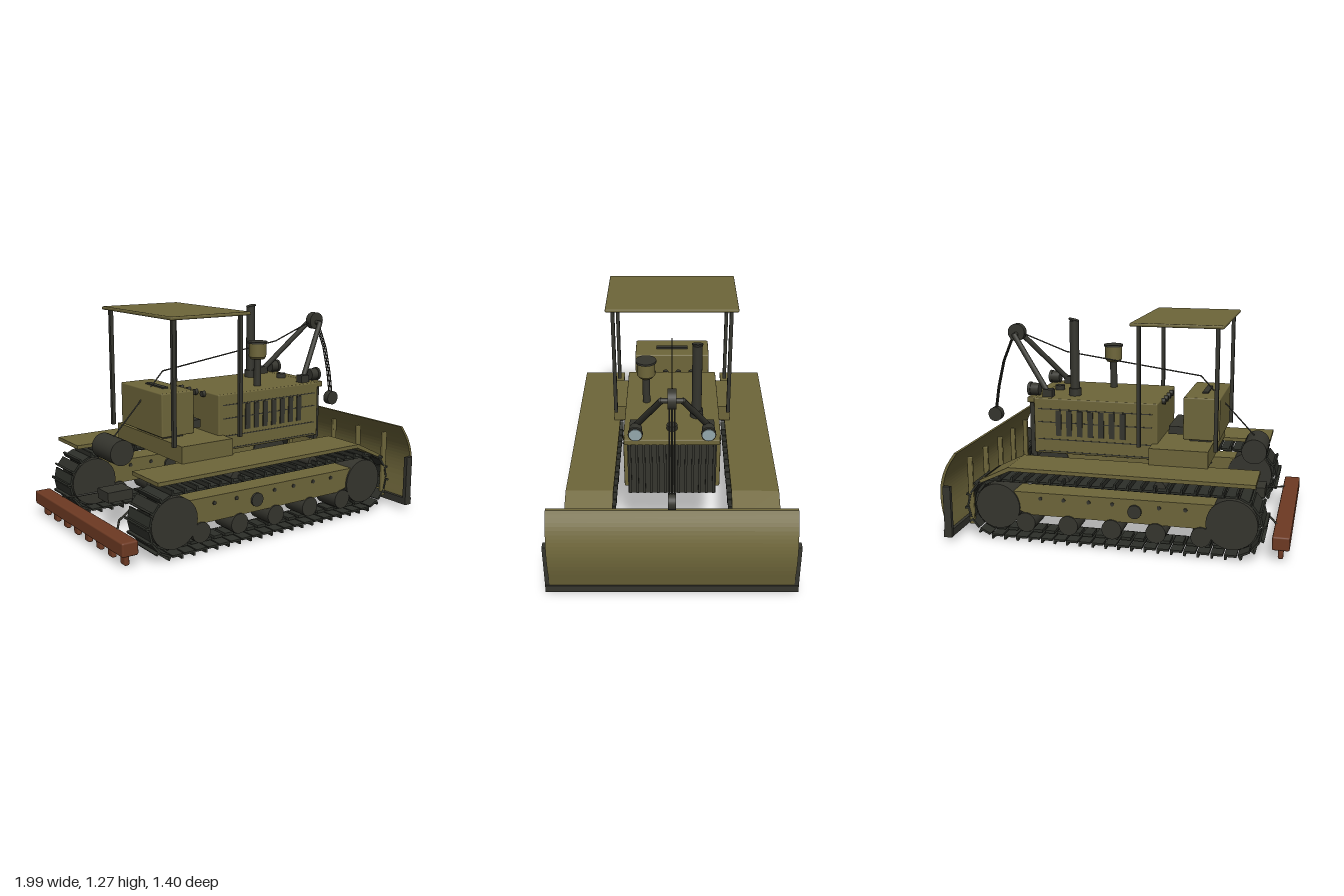
import * as THREE from 'three';
import { RoundedBoxGeometry } from 'three/addons/geometries/RoundedBoxGeometry.js';

const flat = (name, color) => {
  const m = new THREE.MeshStandardMaterial({ color });
  m.name = name;
  return m;
};

export function createModel() {
  const olive = flat('olivePaint', 0x6e663a);
  const dark = flat('darkMetal', 0x35352e);
  const trackSteel = flat('trackSteel', 0x2d2f29);
  const rust = flat('rustyBrown', 0x6e3a23);
  const glass = flat('lampGlass', 0x93a8ac);
  const model = new THREE.Group();

  const add = (name, geo, mat, x = 0, y = 0, z = 0, parent = model) => {
    const mesh = new THREE.Mesh(geo, mat);
    mesh.name = name;
    mesh.position.set(x, y, z);
    parent.add(mesh);
    return mesh;
  };
  // Box given by its limits on each axis
  const box = (name, mat, x0, x1, y0, y1, z0, z1, parent = model, r = 0) => {
    const s = [x1 - x0, y1 - y0, z1 - z0];
    const geo = r ? new RoundedBoxGeometry(...s, 2, r) : new THREE.BoxGeometry(...s);
    return add(name, geo, mat, (x0 + x1) / 2, (y0 + y1) / 2, (z0 + z1) / 2, parent);
  };
  // Cylinder along 'x', 'y' or 'z'
  const cyl = (name, mat, axis, r, len, x, y, z, parent = model, r2 = r) => {
    const geo = new THREE.CylinderGeometry(r2, r, len, 28);
    if (axis === 'x') geo.rotateZ(-Math.PI / 2);
    if (axis === 'z') geo.rotateX(Math.PI / 2);
    return add(name, geo, mat, x, y, z, parent);
  };
  // Straight rods joined through a list of points
  const rod = (name, mat, r, points, parent = model) => {
    for (let i = 1; i < points.length; i++) {
      const a = new THREE.Vector3(...points[i - 1]), b = new THREE.Vector3(...points[i]);
      const d = b.clone().sub(a);
      const mesh = add(name, new THREE.CylinderGeometry(r, r, d.length(), 10), mat, 0, 0, 0, parent);
      mesh.position.copy(a).add(b).multiplyScalar(0.5);
      mesh.quaternion.setFromUnitVectors(new THREE.Vector3(0, 1, 0), d.normalize());
    }
  };
  // Side profile extruded across z
  const slab = (name, mat, pts, z0, z1, parent = model) => {
    const shape = new THREE.Shape(pts.map(p => new THREE.Vector2(...p)));
    const geo = new THREE.ExtrudeGeometry(shape, { depth: z1 - z0, bevelEnabled: false });
    return add(name, geo, mat, 0, 0, z0, parent);
  };

  // Crawler tracks
  const xa = -0.68, xb = 0.69, cy = 0.205, R = 0.17;
  const straight = xb - xa, arc = Math.PI * R, loop = 2 * (straight + arc);
  const onTrack = s => {
    if (s < straight) return [xa + s, cy + R, 0];
    s -= straight;
    if (s < arc) return [xb + R * Math.sin(s / R), cy + R * Math.cos(s / R), -s / R];
    s -= arc;
    if (s < straight) return [xb - s, cy - R, Math.PI];
    const t = (s - straight) / R;
    return [xa - R * Math.sin(t), cy - R * Math.cos(t), Math.PI - t];
  };
  const shoeGeo = new THREE.BoxGeometry(0.068, 0.012, 0.23);
  const ridgeGeo = new THREE.BoxGeometry(0.012, 0.024, 0.23);
  const linkGeo = new THREE.BoxGeometry(0.058, 0.017, 0.1);
  const shoes = 50;

  for (const side of [1, -1]) {
    const track = new THREE.Group();
    track.name = side > 0 ? 'leftwardTrack' : 'rightwardTrack';
    track.position.z = side * 0.47;
    model.add(track);
    for (let i = 0; i < shoes; i++) {
      const [x, y, a] = onTrack((i / shoes) * loop);
      const shoe = new THREE.Group();
      shoe.name = 'trackShoe';
      shoe.position.set(x, y, 0);
      shoe.rotation.z = a;
      track.add(shoe);
      add('shoePlate', shoeGeo, trackSteel, 0, 0, 0, shoe);
      add('shoeRidge', ridgeGeo, trackSteel, -0.028, 0.012, 0, shoe);
      add('chainLink', linkGeo, trackSteel, 0, -0.022, 0, shoe);
    }
    // Wheels and rollers
    cyl('rearWheel', dark, 'z', 0.145, 0.17, xa, cy, 0, track);
    cyl('frontWheel', dark, 'z', 0.135, 0.17, xb, cy, 0, track);
    for (let i = 0; i < 5; i++)
      cyl('bottomRoller', dark, 'z', 0.058, 0.17, -0.51 + i * 0.2575, 0.118, 0, track);
    for (const x of [-0.27, 0.29]) cyl('carrierRoller', dark, 'z', 0.035, 0.14, x, 0.385, 0, track);

    // Track frame
    slab('trackFrame', olive, [[-0.6, 0.19], [-0.5, 0.165], [0.5, 0.165], [0.6, 0.2], [0.6, 0.3], [-0.6, 0.31]],
      -0.075, 0.075, track);
    cyl('framePivot', dark, 'z', 0.04, 0.175, -0.13, 0.235, 0, track);
    for (const x of [-0.42, -0.27, 0, 0.14, 0.29, 0.43])
      cyl('frameBolt', dark, 'z', 0.011, 0.162, x, 0.268, 0, track);

    // Fender with sloping nose
    slab('fender', olive, [[-0.81, 0.44], [0.59, 0.44], [0.77, 0.357], [0.78, 0.373], [0.6, 0.462], [-0.81, 0.462]],
      -0.137, 0.133, track);

    // Hood side louvers and panel seams
    for (let i = 0; i < 7; i++) {
      const x = 0.008 + i * 0.0655;
      box('louver', dark, x - 0.017, x + 0.017, 0.575, 0.73, side * 0.272 - 0.004, side * 0.272 + 0.004);
    }
    for (const y of [0.475, 0.55, 0.655, 0.735])
      box('panelSeam', dark, -0.17, 0.53, y - 0.003, y + 0.003, side * 0.27 - 0.002, side * 0.27 + 0.002);

    // Canopy posts
    for (const x of [-0.555, -0.108])
      box('canopyPost', dark, x - 0.011, x + 0.011, 0.56, 1.265, side * 0.353 - 0.011, side * 0.353 + 0.011);

    // Headlights
    cyl('headlight', dark, 'x', 0.036, 0.065, 0.57, 0.84, side * 0.2);
    cyl('headlightRim', dark, 'x', 0.041, 0.016, 0.597, 0.84, side * 0.2);
    cyl('headlightGlass', glass, 'x', 0.035, 0.006, 0.606, 0.84, side * 0.2);
    box('headlightBracket', dark, 0.555, 0.585, 0.795, 0.83, side * 0.2 - 0.012, side * 0.2 + 0.012);

    // Lifting frame arms
    box('armFoot', dark, 0.45, 0.51, 0.8, 0.845, side * 0.21 - 0.025, side * 0.21 + 0.025);
    rod('liftArm', dark, 0.017, [[0.48, 0.815, side * 0.21], [0.75, 1.14, side * 0.055]]);

    // Rear tool bar links
    rod('toolBarLink', dark, 0.006,
      [[-0.93, 0.15, side * 0.37], [-0.86, 0.175, side * 0.265], [-0.74, 0.2, side * 0.19]]);
  }

  // Hood and radiator
  box('hood', olive, -0.2, 0.555, 0.462, 0.8, -0.27, 0.27, model, 0.008);
  box('radiatorCap', olive, 0.54, 0.598, 0.768, 0.802, -0.265, 0.265, model, 0.006);
  box('radiator', dark, 0.55, 0.575, 0.43, 0.77, -0.248, 0.248);
  for (let i = 0; i < 13; i++) {
    const z = -0.234 + i * 0.039;
    box('grilleBar', dark, 0.57, 0.59, 0.44, 0.765, z - 0.007, z + 0.007);
  }
  for (const z of [-0.12, -0.04, 0.04, 0.12])
    cyl('gauge', dark, 'x', 0.018, 0.025, -0.207, 0.785, z);

  // Exhaust, air cleaner and filler cap
  cyl('exhaustCollar', dark, 'y', 0.037, 0.05, 0.335, 0.82, -0.14);
  cyl('exhaustPipe', dark, 'y', 0.028, 0.45, 0.335, 1.025, -0.14);
  cyl('exhaustFlap', dark, 'y', 0.031, 0.007, 0.337, 1.256, -0.14).rotation.z = 0.25;
  cyl('cleanerStem', dark, 'y', 0.022, 0.18, 0.17, 0.885, 0.15);
  cyl('cleanerBase', olive, 'y', 0.042, 0.015, 0.17, 0.973, 0.15, model, 0.053);
  cyl('cleanerBowl', olive, 'y', 0.053, 0.08, 0.17, 1.02, 0.15);
  cyl('cleanerCap', dark, 'y', 0.06, 0.012, 0.17, 1.066, 0.15);
  cyl('fillerCap', dark, 'y', 0.03, 0.03, 0.477, 0.813, 0);

  // Operator station and canopy
  box('platform', olive, -0.515, -0.17, 0.462, 0.56, -0.37, 0.37);
  box('tankFoot', dark, -0.5, -0.37, 0.555, 0.6, -0.15, 0.15);
  box('tank', olive, -0.56, -0.345, 0.588, 0.84, -0.235, 0.235, model, 0.008);
  box('tankSlot', dark, -0.47, -0.435, 0.838, 0.848, -0.1, 0.1);
  box('seat', dark, -0.35, -0.245, 0.595, 0.642, -0.15, 0.15);
  box('canopyRoof', olive, -0.593, -0.063, 1.262, 1.282, -0.395, 0.395, model, 0.008);

  // Winch, pulleys and cables
  cyl('winchDrum', dark, 'z', 0.074, 0.23, -0.75, 0.505, 0);
  box('drawbar', dark, -0.82, -0.66, 0.21, 0.27, -0.065, 0.065);
  cyl('topPulley', dark, 'z', 0.054, 0.044, 0.75, 1.15, 0);
  cyl('pulleyAxle', dark, 'z', 0.014, 0.12, 0.75, 1.14, 0);
  cyl('lowerPulley', dark, 'z', 0.045, 0.044, 0.91, 0.62, 0);
  rod('rearCable', dark, 0.004,
    [[0.74, 1.155, 0], [0.43, 1.04, 0], [-0.41, 0.925, 0], [-0.74, 0.575, 0]]);
  for (const z of [-0.015, 0, 0.015])
    rod('frontCable', dark, 0.004, [[0.78, 1.12, z], [0.845, 0.965, z], [0.885, 0.8, z], [0.91, 0.64, z]]);

  // Curved blade
  const curve = new THREE.CatmullRomCurve3([[0.885, 0.548], [0.945, 0.455], [0.979, 0.35],
    [0.982, 0.24], [0.952, 0.075]].map(p => new THREE.Vector3(...p, 0)));
  const face = curve.getPoints(20).map(p => [p.x + 0.008, p.y]);
  const back = face.map(([x, y]) => [x - 0.017, y]).reverse();
  slab('blade', olive, [...face, ...back], -0.677, 0.677);
  box('cuttingEdge', dark, 0.925, 0.972, 0.042, 0.085, -0.7, 0.7);
  for (const s of [-1, 1]) {
    box('bladeEndPlate', dark, 0.92, 0.965, 0.045, 0.35, s * 0.689 - 0.012, s * 0.689 + 0.012);
    for (const z of [0.11, 0.34, 0.57])
      box('bladeRib', olive, 0.83, 0.862, 0.09, 0.5, s * z - 0.012, s * z + 0.012, model, 0.006);
  }

  // Rear tool bar with teeth
  box('toolBar', rust, -1, -0.903, 0.08, 0.16, -0.558, 0.558, model, 0.01);
  for (let i = 0; i < 8; i++) {
    const z = -0.49 + i * 0.14;
    box('toolTooth', rust, -0.965, -0.935, 0.015, 0.09, z - 0.027, z + 0.027, model, 0.01);
  }
  return model;
}
